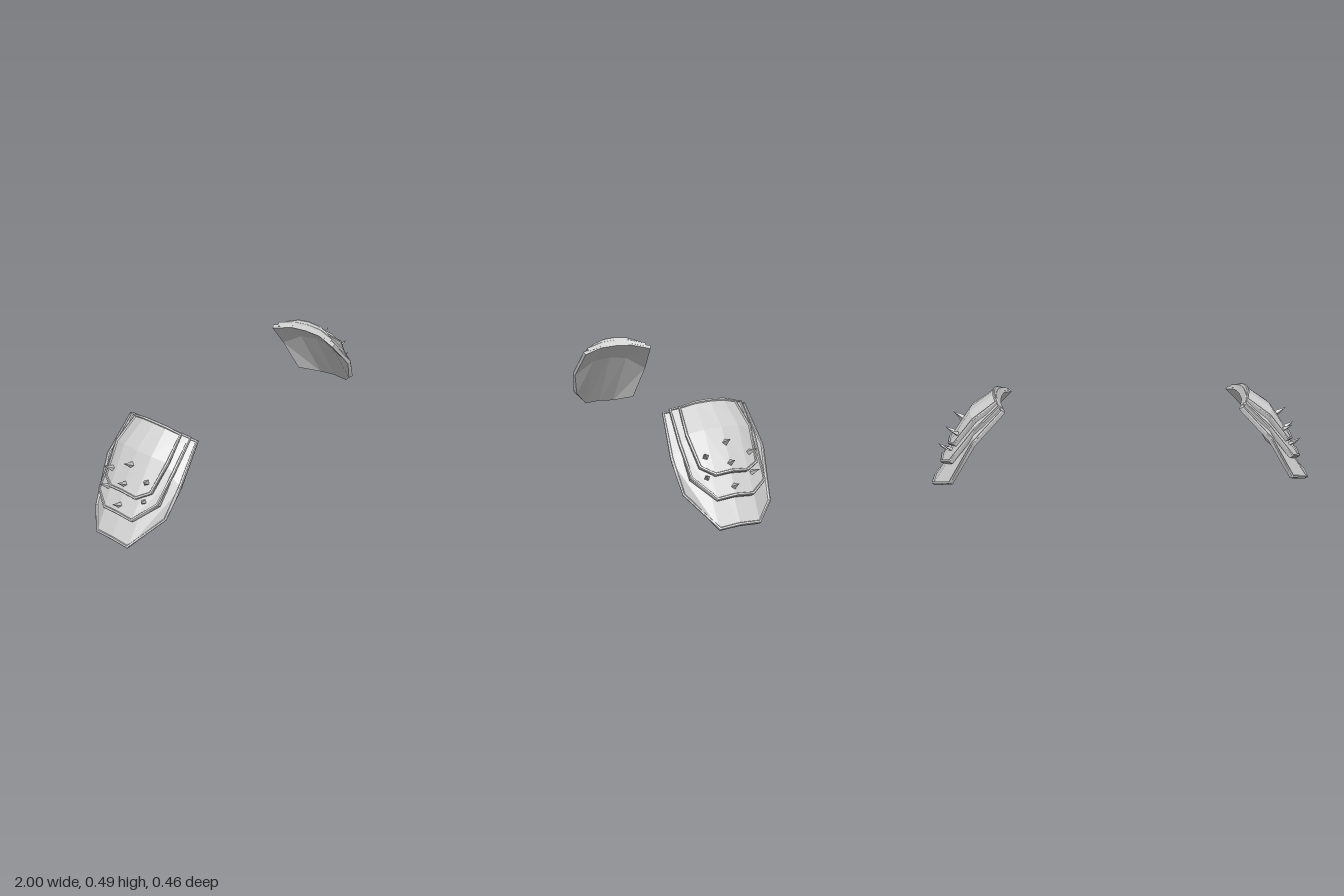
import * as THREE from 'three';

const V = (x, y, z) => new THREE.Vector3(x, y, z);
const material = new THREE.MeshStandardMaterial({ color: 0xcccccc, flatShading: true });

// Each plate has three rows (collar, bend, lower edge);
// a row lists front edge, front half, ridge, back half and back edge as x, y, z.
const row = (ridge, half, front, back = front) => [
  V(...front), V(...half), V(ridge[0], ridge[1], 0),
  V(half[0], half[1], -half[2]), V(back[0], back[1], -back[2]),
];
const PLATES = [
  { name: 'basePlate', thickness: 0.024, rows: [
    row([0.637, 0.478], [0.632, 0.473, 0.1], [0.602, 0.447, 0.21]),
    row([0.768, 0.372], [0.762, 0.36, 0.11], [0.757, 0.283, 0.234]),
    row([1.0, 0.029], [0.996, 0.021, 0.1], [0.84, 0.135, 0.21], [0.888, 0.06, 0.207]),
  ] },
  { name: 'middlePlate', thickness: 0.026, rows: [
    row([0.647, 0.492], [0.642, 0.487, 0.085], [0.617, 0.464, 0.183]),
    row([0.777, 0.395], [0.771, 0.388, 0.095], [0.747, 0.34, 0.192]),
    row([0.953, 0.148], [0.947, 0.138, 0.088], [0.86, 0.22, 0.18], [0.888, 0.17, 0.177]),
  ] },
  { name: 'topPlate', thickness: 0.026, rows: [
    row([0.657, 0.505], [0.652, 0.5, 0.07], [0.635, 0.475, 0.145]),
    row([0.79, 0.412], [0.785, 0.408, 0.085], [0.757, 0.385, 0.165]),
    row([0.908, 0.243], [0.903, 0.234, 0.08], [0.857, 0.262, 0.14], [0.866, 0.25, 0.145]),
  ] },
];

// Spike roots and directions
const SPIKES = [
  [V(0.825, 0.35, 0), V(0.84, 0.54, 0)],
  [V(0.873, 0.27, 0), V(0.84, 0.54, 0)],
  [V(0.917, 0.177, 0), V(0.84, 0.54, 0)],
  [V(0.838, 0.3, 0.1), V(0.75, 0.52, 0.4)],
  [V(0.838, 0.292, -0.105), V(0.75, 0.52, -0.4)],
  [V(0.868, 0.213, 0.105), V(0.75, 0.52, 0.4)],
  [V(0.872, 0.208, -0.103), V(0.75, 0.52, -0.4)],
];

function plateGeometry(rows, thickness, side) {
  const R = rows.length, C = rows[0].length;
  const at = (i, j) => rows[Math.min(Math.max(i, 0), R - 1)][Math.min(Math.max(j, 0), C - 1)];
  const normals = rows.map((r, i) => r.map((p, j) =>
    at(i + 1, j).clone().sub(at(i - 1, j)).cross(at(i, j + 1).clone().sub(at(i, j - 1))).normalize()));
  const positions = [];
  const tri = (a, b, c) => {
    for (const p of side > 0 ? [a, b, c] : [a, c, b]) positions.push(side * p.x, p.y, p.z);
  };
  const quad = (a, b, c, d) => { tri(a, b, c); tri(a, c, d); };

  // Sunken panel and hollow underside
  const sheet = (depth, flip) => {
    const g = rows.map((r, i) => r.map((p, j) => p.clone().addScaledVector(normals[i][j], -depth)));
    for (let i = 0; i < R - 1; i++) for (let j = 0; j < C - 1; j++) {
      const q = [g[i][j], g[i + 1][j], g[i + 1][j + 1], g[i][j + 1]];
      quad(...(flip ? q.reverse() : q));
    }
  };
  sheet(0.007, false);
  sheet(thickness, true);

  // Bevelled raised rim around the outline
  const path = [];
  for (let i = 0; i < R - 1; i++) path.push([i, 0]);
  for (let j = 0; j < C - 1; j++) path.push([R - 1, j]);
  for (let i = R - 1; i > 0; i--) path.push([i, C - 1]);
  for (let j = C - 1; j > 0; j--) path.push([0, j]);
  const n = path.length;
  const ring = (inset, depth) => path.map(([i, j], k) => {
    const p = rows[i][j], normal = normals[i][j];
    const next = at(...path[(k + 1) % n]), prev = at(...path[(k + n - 1) % n]);
    const along = next.clone().sub(p).normalize().add(p.clone().sub(prev).normalize());
    const inward = normal.clone().cross(along).normalize();
    return p.clone().addScaledVector(inward, inset).addScaledVector(normal, -depth);
  });
  const rings = [ring(0, thickness), ring(0, 0.005), ring(0.004, 0), ring(0.012, 0), ring(0.015, 0.009)];
  for (let s = 0; s < rings.length - 1; s++) for (let k = 0; k < n; k++) {
    const m = (k + 1) % n;
    quad(rings[s][k], rings[s][m], rings[s + 1][m], rings[s + 1][k]);
  }

  const geometry = new THREE.BufferGeometry();
  geometry.setAttribute('position', new THREE.Float32BufferAttribute(positions, 3));
  geometry.computeVertexNormals();
  return geometry;
}

function shoulderGuard(side) {
  const group = new THREE.Group();
  group.name = side > 0 ? 'leftShoulderGuard' : 'rightShoulderGuard';
  for (const { name, rows, thickness } of PLATES) {
    const plate = new THREE.Mesh(plateGeometry(rows, thickness, side), material);
    plate.name = name;
    group.add(plate);
  }
  // Four-sided spikes standing on the upper two plates
  const cone = new THREE.ConeGeometry(0.015, 0.06, 4).translate(0, 0.03, 0);
  for (const [root, direction] of SPIKES) {
    const spike = new THREE.Mesh(cone, material);
    spike.name = 'spike';
    spike.position.set(side * root.x, root.y, root.z);
    const aim = V(side * direction.x, direction.y, direction.z).normalize();
    spike.quaternion.setFromUnitVectors(V(0, 1, 0), aim);
    group.add(spike);
  }
  return group;
}

export function createModel() {
  const model = new THREE.Group();
  model.name = 'shoulderGuards';
  model.add(shoulderGuard(1), shoulderGuard(-1));
  return model;
}
